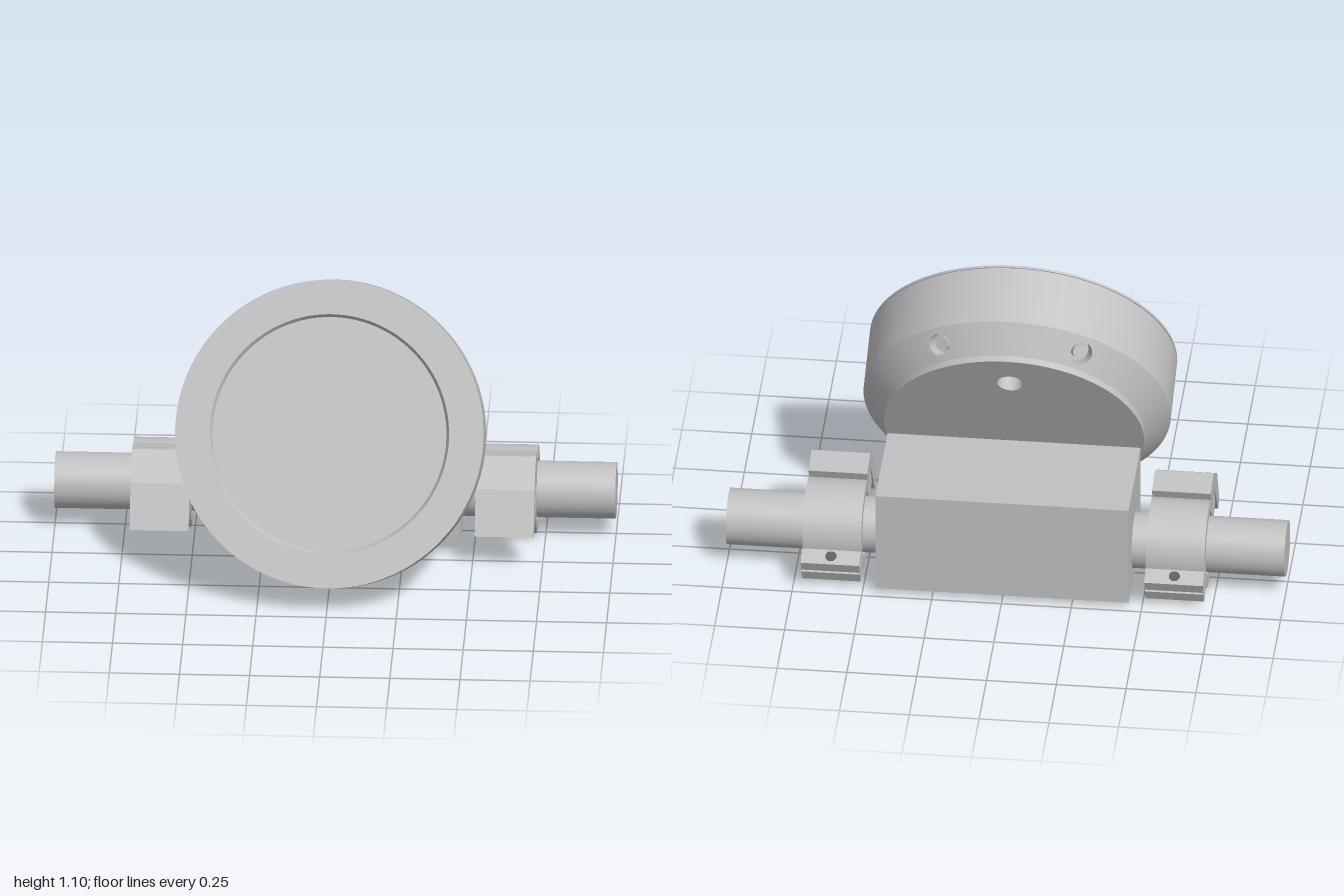
import * as THREE from 'three';
import { mergeGeometries } from 'three/addons/utils/BufferGeometryUtils.js';

const grey = new THREE.MeshStandardMaterial({ color: 0xc0c0c0, side: THREE.DoubleSide });
grey.name = 'grey';
const dark = new THREE.MeshStandardMaterial({ color: 0x5a5a5a });
dark.name = 'dark grey';

const TILT = THREE.MathUtils.degToRad(25);
const UP = new THREE.Vector3(0, 1, 0);

function add(parent, name, geometry, material = grey) {
  const mesh = new THREE.Mesh(geometry, material);
  mesh.name = name;
  parent.add(mesh);
  return mesh;
}

// Sharp-edged turned surface: one lathe band per profile segment
function turned(points, start = 0, length = Math.PI * 2, segments = 96) {
  const bands = [];
  for (let i = 0; i < points.length - 1; i++) {
    const pair = [points[i], points[i + 1]].map(([r, y]) => new THREE.Vector2(r, y));
    bands.push(new THREE.LatheGeometry(pair, segments, start, length));
  }
  return mergeGeometries(bands);
}

// Conical rear shoulder of the housing
const R0 = 0.466, Y0 = -0.327, R1 = 0.55, Y1 = -0.237;
const SLANT = Math.hypot(R1 - R0, Y1 - Y0);
const DR = (R1 - R0) / SLANT, DY = (Y1 - Y0) / SLANT;
const RM = (R0 + R1) / 2, YM = (Y0 + Y1) / 2;
const HALF = THREE.MathUtils.degToRad(7);
const HOLE = 0.04;
const normalAt = (phi) => new THREE.Vector3(DY * Math.sin(phi), -DR, DY * Math.cos(phi));

// Patch of the shoulder with a round hole, wrapped onto the cone
function holePatch(phi) {
  const w = HALF * RM, h = SLANT / 2;
  const shape = new THREE.Shape([[-w, -h], [0, -h], [w, -h], [w, h], [0, h], [-w, h]]
    .map(([x, y]) => new THREE.Vector2(x, y)));
  shape.holes.push(new THREE.Path().absarc(0, 0, HOLE, 0, Math.PI * 2, true));
  const g = new THREE.ShapeGeometry(shape, 16);
  const p = g.attributes.position, n = g.attributes.normal;
  for (let i = 0; i < p.count; i++) {
    const a = phi + p.getX(i) / RM, t = p.getY(i), r = RM + t * DR;
    const nv = normalAt(a);
    p.setXYZ(i, r * Math.sin(a), YM + t * DY, r * Math.cos(a));
    n.setXYZ(i, nv.x, nv.y, nv.z);
  }
  return g;
}

function createHousing() {
  const gauge = new THREE.Group();
  gauge.name = 'roundHousing';
  gauge.position.set(0, 0.603, 0.25);
  gauge.rotation.x = -TILT;
  const body = new THREE.Group();
  body.name = 'housingBody';
  body.rotation.x = Math.PI / 2;
  gauge.add(body);

  add(body, 'rearRim', turned([[R0, -0.352], [R0, Y0]]));
  add(body, 'sideWall', turned([[R1, Y1], [R1, -0.014], [0.546, -0.014], [0.546, -0.009], [R1, -0.009], [R1, 0]]));
  add(body, 'frontBezel', turned([[R1, 0], [0.427, 0], [0.417, -0.018]]));
  add(body, 'frontWindow', turned([[0.417, -0.018], [0, -0.018]]));

  // Shoulder with four recessed set screws
  const angles = [30, 150, 210, 330].map(THREE.MathUtils.degToRad);
  angles.forEach((phi, i) => {
    const next = i < 3 ? angles[i + 1] : angles[0] + Math.PI * 2;
    add(body, 'shoulder', turned([[R0, Y0], [R1, Y1]], phi + HALF, next - phi - 2 * HALF, 28));
    add(body, 'shoulderHolePatch', holePatch(phi));
    const n = normalAt(phi);
    const screw = new THREE.Group();
    screw.name = 'setScrew';
    screw.position.set(RM * Math.sin(phi), YM, RM * Math.cos(phi));
    screw.quaternion.setFromUnitVectors(UP, n);
    body.add(screw);
    add(screw, 'holeWall', new THREE.CylinderGeometry(HOLE, HOLE, 0.05, 32, 1, true).translate(0, -0.025, 0));
    add(screw, 'holeFloor', new THREE.CircleGeometry(HOLE, 32).rotateX(-Math.PI / 2).translate(0, -0.05, 0));
    add(screw, 'screwHead', new THREE.CylinderGeometry(0.026, 0.026, 0.03, 24).translate(0, -0.034, 0));
  });

  // Back plate with cable hole
  const plate = new THREE.Shape().absarc(0, 0, R0, 0, Math.PI * 2);
  plate.holes.push(new THREE.Path().absarc(0, 0.32, 0.046, 0, Math.PI * 2, true));
  add(gauge, 'backPlate', new THREE.ShapeGeometry(plate, 48).rotateY(Math.PI).translate(0, 0, -0.352));
  add(gauge, 'cableHoleWall', new THREE.CylinderGeometry(0.046, 0.046, 0.1, 32, 1, true)
    .rotateX(Math.PI / 2).translate(0, 0.32, -0.302));
  add(gauge, 'cableHoleFloor', new THREE.CircleGeometry(0.046, 32).rotateY(Math.PI).translate(0, 0.32, -0.252));
  return gauge;
}

// Split clamp drawn in the plane of its slit: u along the slit, w across it
const IN = 0.113, OUT = 0.158, GAP = 0.006, TAB = 0.21, TABW = 0.052;
const tabAngle = Math.asin(TABW / OUT);

function upperHalf() {
  const s = new THREE.Shape();
  s.moveTo(IN, GAP);
  [[0.213, GAP], [0.212, 0.05], [0.256, -0.174], [0.3, -0.174], [0.3, -0.005],
    [0.225, 0.115], [0.124, 0.137], [0.122, 0.1]].forEach(([u, w]) => s.lineTo(u, w));
  s.absarc(0, 0, OUT, Math.atan2(0.1, 0.122), Math.PI - tabAngle, false);
  s.lineTo(-TAB, TABW);
  s.lineTo(-TAB, GAP);
  s.lineTo(-IN, GAP);
  s.absarc(0, 0, IN, Math.PI - 0.053, 0.053, true);
  return s;
}

function lowerHalf() {
  const s = new THREE.Shape();
  s.moveTo(-IN, -GAP);
  s.lineTo(-TAB, -GAP);
  s.lineTo(-TAB, -TABW);
  s.absarc(0, 0, OUT, Math.PI + tabAngle, Math.PI * 2 - tabAngle, false);
  s.lineTo(TAB, -TABW);
  s.lineTo(TAB, -GAP);
  s.lineTo(IN, -GAP);
  s.absarc(0, 0, IN, -0.053, -Math.PI + 0.053, true);
  return s;
}

function createClamp(side) {
  const clamp = new THREE.Group();
  clamp.name = side > 0 ? 'leftClamp' : 'rightClamp';
  clamp.position.set(side * 0.615, 0.157, -0.275);
  const place = (g) => g.rotateZ(TILT).rotateY(-Math.PI / 2);
  const extrude = (shape) => place(new THREE.ExtrudeGeometry(shape,
    { depth: 0.21, bevelEnabled: false, curveSegments: 32 }).translate(0, 0, -0.105));
  add(clamp, 'clampArmHalf', extrude(upperHalf()));
  add(clamp, 'clampLowerHalf', extrude(lowerHalf()));
  add(clamp, 'boltHole', place(new THREE.CylinderGeometry(0.02, 0.02, 0.004, 24).translate(-0.176, TABW, 0)), dark);
  return clamp;
}

export function createModel() {
  const model = new THREE.Group();
  model.name = 'clampedRoundHousing';
  model.add(createHousing());

  // Block and the bar running through it
  add(model, 'block', new THREE.BoxGeometry(0.906, 0.392, 0.41)).position.set(0, 0.216, -0.273);
  add(model, 'crossBar', new THREE.CylinderGeometry(0.101, 0.101, 2, 64).rotateZ(Math.PI / 2))
    .position.set(0, 0.157, -0.275);

  for (const side of [1, -1]) model.add(createClamp(side));
  return model;
}
